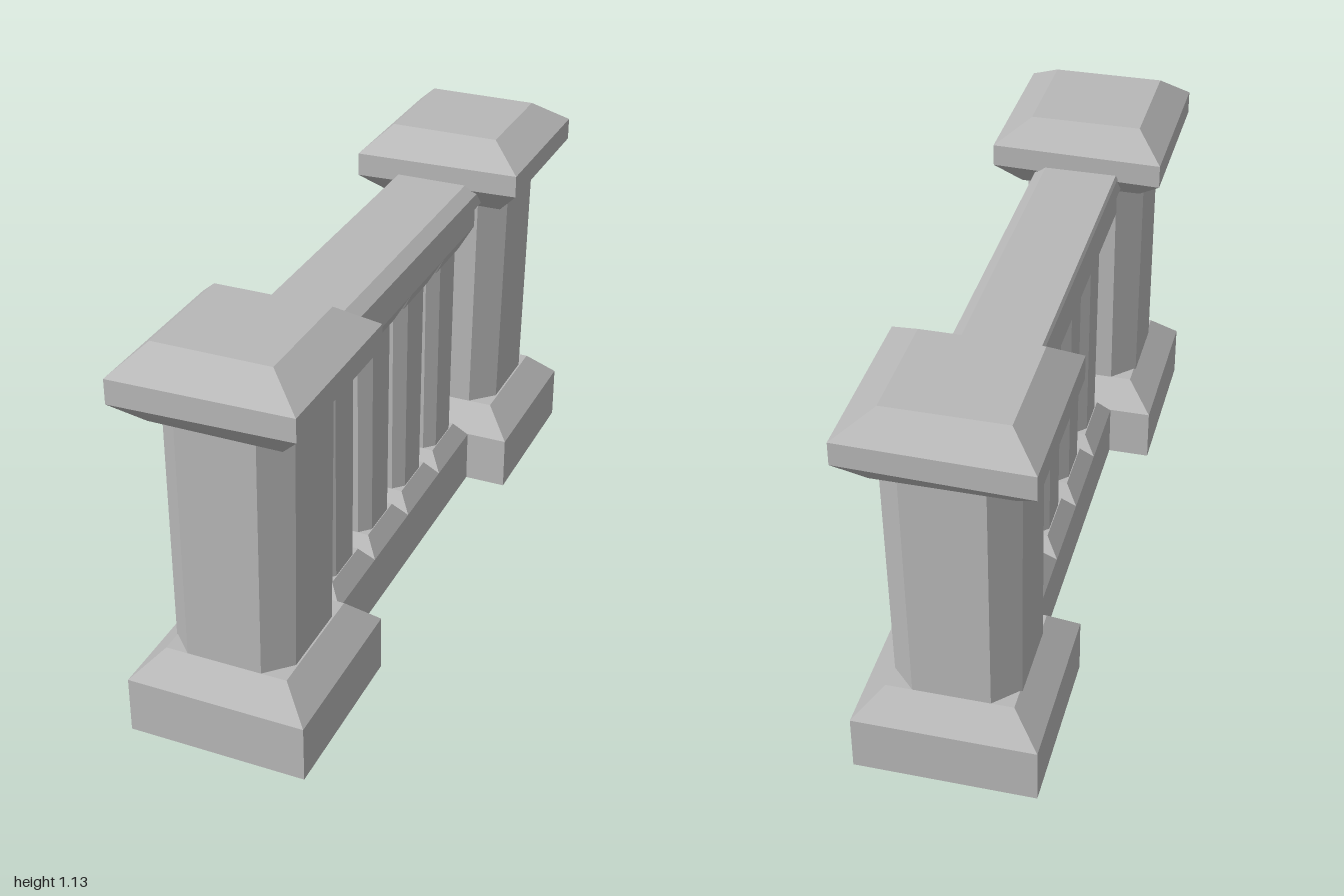
import * as THREE from 'three';

const stone = new THREE.MeshStandardMaterial({ color: 0xb8b8b8 });
stone.name = 'grey stone';

// Horizontal ring: a rectangle with cut corners; tilt raises the +x side.
function ring(y, hx, hz, { cut = 0, dx = 0, dz = 0, tilt = 0 } = {}) {
  const corners = cut
    ? [[hx, -hz + cut], [hx, hz - cut], [hx - cut, hz], [-hx + cut, hz],
       [-hx, hz - cut], [-hx, -hz + cut], [-hx + cut, -hz], [hx - cut, -hz]]
    : [[hx, -hz], [hx, hz], [-hx, hz], [-hx, -hz]];
  return corners.map(([x, z]) => [x + dx, y + tilt * x / hx, z + dz]);
}

// Closed, flat-faced solid through a stack of rings, bottom to top.
function loft(name, rings) {
  const pos = [];
  const tri = (a, b, c) => pos.push(...a, ...b, ...c);
  const n = rings[0].length;
  for (let r = 0; r < rings.length - 1; r++) {
    const lo = rings[r], hi = rings[r + 1];
    for (let i = 0; i < n; i++) {
      const j = (i + 1) % n;
      tri(lo[i], hi[i], hi[j]);
      tri(lo[i], hi[j], lo[j]);
    }
  }
  const bottom = rings[0], top = rings[rings.length - 1];
  for (let i = 1; i < n - 1; i++) {
    tri(bottom[0], bottom[i], bottom[i + 1]);
    tri(top[0], top[i + 1], top[i]);
  }
  const geometry = new THREE.BufferGeometry();
  geometry.setAttribute('position', new THREE.Float32BufferAttribute(pos, 3));
  geometry.computeVertexNormals();
  const mesh = new THREE.Mesh(geometry, stone);
  mesh.name = name;
  return mesh;
}

// Square end post: plinth, eight-sided shaft, bevelled cap.
function makePost(name) {
  const post = new THREE.Group();
  post.name = name;
  post.add(
    loft('postPlinth', [ring(0, 0.25, 0.25), ring(0.162, 0.25, 0.25), ring(0.24, 0.172, 0.178)]),
    loft('postShaft', [
      ring(0.235, 0.172, 0.178, { cut: 0.067, dx: -0.005 }),
      ring(0.925, 0.18, 0.18, { cut: 0.07 }),
    ]),
    loft('postCap', [
      ring(0.92, 0.18, 0.18),
      ring(0.993, 0.25, 0.25, { tilt: 0.006 }),
      ring(1.06, 0.25, 0.25, { tilt: 0.004 }),
      ring(1.13, 0.162, 0.165, { dx: -0.01, dz: -0.005 }),
    ]),
  );
  return post;
}

// Baluster: foot and head fill one bay, with a thinner shaft between.
function makeBaluster() {
  const baluster = new THREE.Group();
  baluster.name = 'baluster';
  baluster.add(
    loft('balusterFoot', [ring(0, 0.125, 0.125), ring(0.16, 0.125, 0.125), ring(0.212, 0.088, 0.088)]),
    loft('balusterShaft', [
      ring(0.208, 0.086, 0.086, { cut: 0.03 }),
      ring(0.825, 0.09, 0.09, { cut: 0.032 }),
    ]),
    loft('balusterHead', [ring(0.82, 0.09, 0.09), ring(0.885, 0.125, 0.125), ring(0.945, 0.125, 0.125)]),
  );
  return baluster;
}

// Top rail running into both posts, with its +x edge bevelled.
function makeRail() {
  const profile = new THREE.Shape([
    [-0.126, 0.94], [0.126, 0.94], [0.126, 0.985], [0.092, 1.01], [-0.12, 1.01], [-0.126, 1.0],
  ].map(([x, y]) => new THREE.Vector2(x, y)));
  const geometry = new THREE.ExtrudeGeometry(profile, { depth: 1.16, bevelEnabled: false });
  geometry.translate(0, 0, -0.58);
  const rail = new THREE.Mesh(geometry, stone);
  rail.name = 'topRail';
  return rail;
}

export function createModel() {
  const model = new THREE.Group();
  model.name = 'balustrade';

  for (const [name, z] of [['frontPost', 0.75], ['backPost', -0.75]]) {
    const post = makePost(name);
    post.position.z = z;
    model.add(post);
  }
  for (let i = 0; i < 4; i++) {
    const baluster = makeBaluster();
    baluster.position.z = -0.375 + i * 0.25;
    model.add(baluster);
  }
  model.add(makeRail());
  return model;
}
